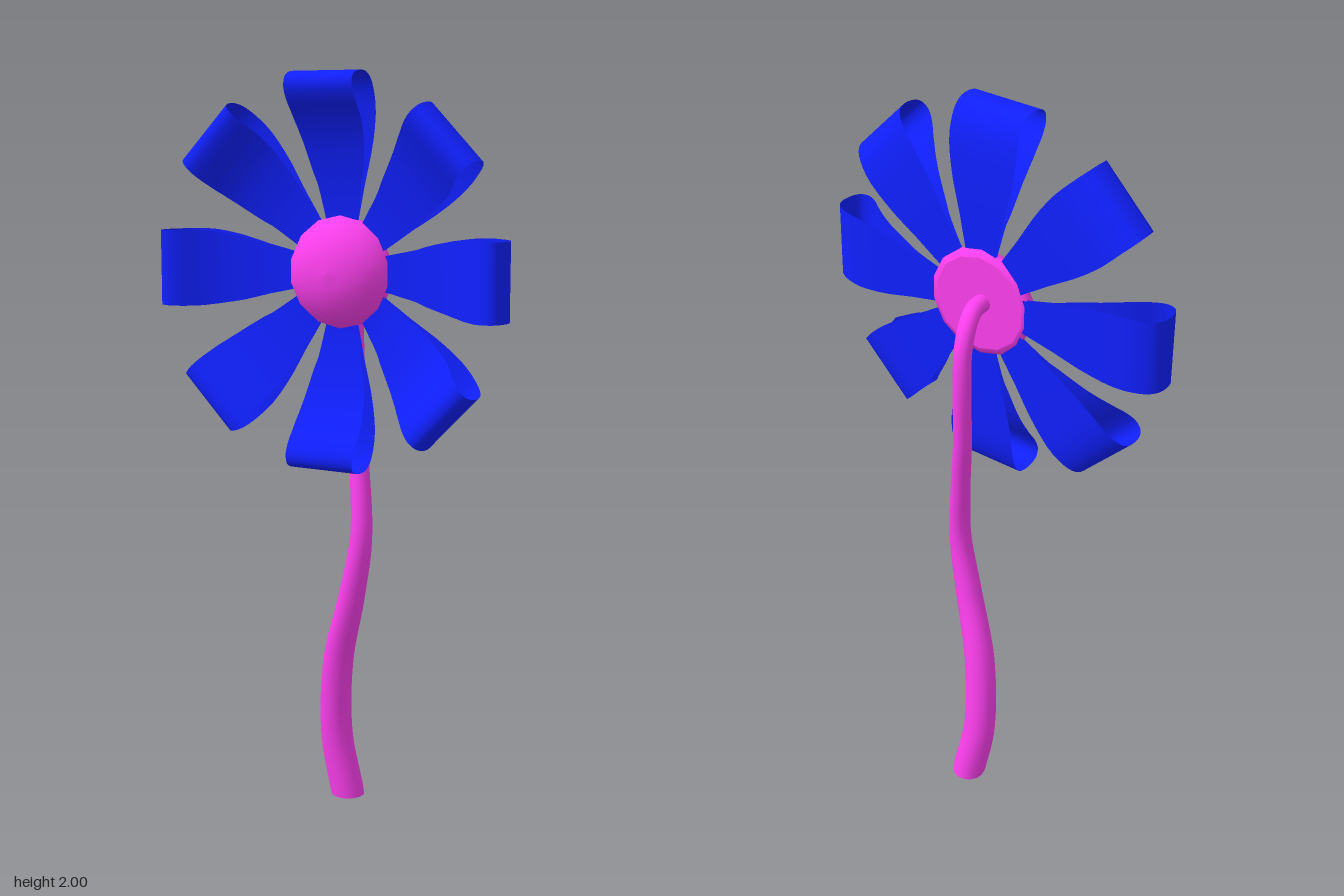
import * as THREE from 'three';

const pink = new THREE.MeshStandardMaterial({ color: 0xff40f0 });
const blue = new THREE.MeshStandardMaterial({ color: 0x1020ff, side: THREE.DoubleSide });
const HEAD_Y = 1.49;

// Tapered, winding stem with a hooked top; each point is x, y, z, radius
function createStem() {
  const path = [
    [-0.065, 0, -0.103, 0.047], [-0.092, 0.18, -0.087, 0.045], [-0.072, 0.4, -0.062, 0.042],
    [-0.012, 0.6, -0.034, 0.036], [0.022, 0.77, -0.027, 0.03], [0.006, 0.95, -0.046, 0.027],
    [-0.02, 1.12, -0.07, 0.025], [-0.032, 1.3, -0.086, 0.024], [-0.03, 1.41, -0.078, 0.024],
    [-0.024, 1.47, -0.05, 0.024], [-0.016, 1.493, -0.015, 0.024], [-0.014, 1.495, 0.03, 0.024],
  ];
  const curve = new THREE.CatmullRomCurve3(path.map(([x, y, z]) => new THREE.Vector3(x, y, z)));
  const rings = 80, sides = 16;
  const geo = new THREE.TubeGeometry(curve, rings, 1, sides);
  const pos = geo.attributes.position, v = new THREE.Vector3();
  for (let i = 0; i <= rings; i++) {
    const t = curve.getUtoTmapping(i / rings);
    const c = curve.getPoint(t);
    const k = Math.min(Math.floor(t * (path.length - 1)), path.length - 2);
    const r = THREE.MathUtils.lerp(path[k][3], path[k + 1][3], t * (path.length - 1) - k);
    for (let j = 0; j <= sides; j++) {
      const n = i * (sides + 1) + j;
      v.fromBufferAttribute(pos, n).sub(c).multiplyScalar(r).add(c);
      pos.setXYZ(n, v.x, i === 0 ? 0 : Math.max(v.y, 0), v.z);
    }
  }
  const stem = new THREE.Group();
  stem.name = 'stem';
  const tube = new THREE.Mesh(geo, pink);
  tube.name = 'stemTube';
  const cap = new THREE.Mesh(new THREE.CircleGeometry(0.047, sides), pink);
  cap.name = 'stemBase';
  cap.rotation.x = Math.PI / 2;
  cap.position.set(-0.065, 0, -0.103);
  stem.add(tube, cap);
  return stem;
}

// Petal: a thin ribbon looping out along the back, round the tip and in along the front
function createPetalGeometry() {
  const loop = new THREE.CatmullRomCurve3([
    [0.06, 0.03], [0.2, 0.031], [0.34, 0.033], [0.44, 0.04], [0.492, 0.06], [0.51, 0.085],
    [0.51, 0.13], [0.498, 0.15], [0.475, 0.155], [0.445, 0.143], [0.4, 0.112], [0.34, 0.08],
    [0.25, 0.053], [0.16, 0.038], [0.06, 0.034],
  ].map(([r, z]) => new THREE.Vector3(0, r, z)));
  const halfWidth = new THREE.SplineCurve([
    [0.06, 0.035], [0.13, 0.046], [0.22, 0.064], [0.32, 0.088], [0.41, 0.101], [0.51, 0.1],
  ].map(([r, w]) => new THREE.Vector2(r, w)));
  const widths = halfWidth.getPoints(60);
  const widthAt = (r) => (widths.find((p) => p.x >= r) ?? widths[60]).y;

  const steps = 48;
  const geo = new THREE.PlaneGeometry(2, 1, 2, steps);
  const pos = geo.attributes.position;
  for (let n = 0; n < pos.count; n++) {
    const p = loop.getPoint(0.5 - pos.getY(n));
    pos.setXYZ(n, pos.getX(n) * widthAt(p.y), p.y, p.z);
  }
  geo.computeVertexNormals();
  return geo;
}

// Domed flower centre with a flat back
function createCentre() {
  const profile = [[0, 0], [0.13, 0], [0.13, 0], [0.147, 0.008], [0.147, 0.022], [0.136, 0.045],
    [0.112, 0.07], [0.08, 0.09], [0.042, 0.102], [0, 0.106]];
  const geo = new THREE.LatheGeometry(profile.map(([r, y]) => new THREE.Vector2(r, y)), 14);
  geo.rotateX(Math.PI / 2);
  const centre = new THREE.Mesh(geo, pink);
  centre.name = 'flowerCentre';
  centre.position.set(-0.005, HEAD_Y, 0.018);
  centre.rotation.y = 0.07;
  return centre;
}

export function createModel() {
  const flower = new THREE.Group();
  flower.name = 'flower';
  flower.add(createStem(), createCentre());

  // Ring of eight petals
  const petals = new THREE.Group();
  petals.name = 'petals';
  petals.position.y = HEAD_Y;
  const petalGeo = createPetalGeometry();
  for (let i = 0; i < 8; i++) {
    const petal = new THREE.Mesh(petalGeo, blue);
    petal.name = 'petal' + (i + 1);
    petal.rotation.z = (i * Math.PI) / 4;
    petals.add(petal);
  }
  flower.add(petals);
  return flower;
}
